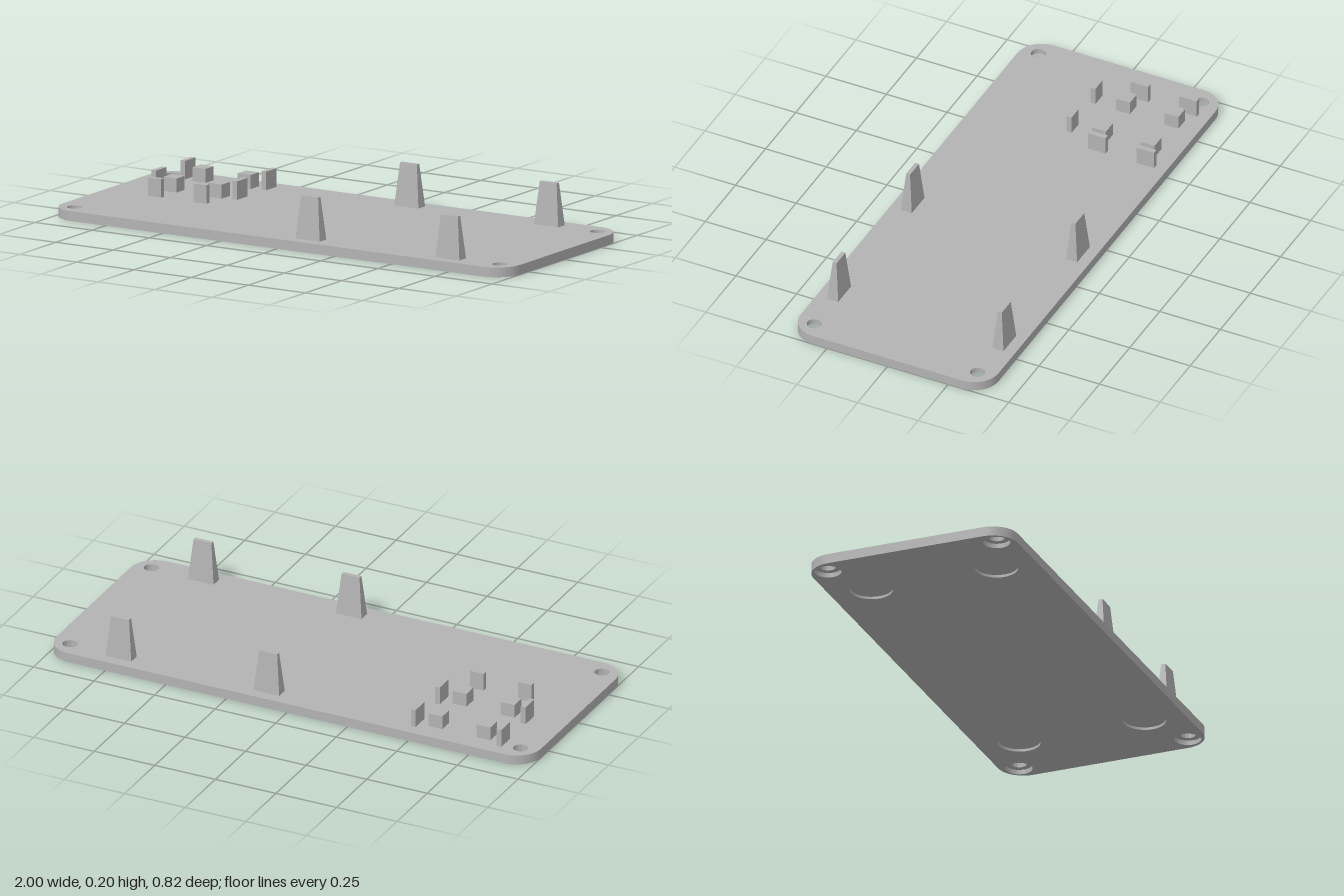
import * as THREE from 'three';
import { mergeGeometries, toCreasedNormals } from 'three/addons/utils/BufferGeometryUtils.js';

const HALF_X = 1, HALF_Z = 0.408, THICK = 0.037, CORNER = 0.1;
const HOLE_R = 0.028, BORE_R = 0.05, BORE_DEPTH = 0.018;
const FOOT_R = 0.079, FOOT_DEPTH = 0.01;
const SEG = 40;

// The four mirrored positions of (x, z)
const corners = (x, z) => [[x, z], [-x, z], [-x, -z], [x, -z]];
const HOLES = corners(0.93, 0.337);
const FEET = corners(0.72, 0.25);

// The plate is drawn in XY with z as its height, then laid flat
function circlePoints(x, y, r) {
  return Array.from({ length: SEG }, (_, i) => {
    const a = (i / SEG) * Math.PI * 2;
    return new THREE.Vector2(x + r * Math.cos(a), y + r * Math.sin(a));
  });
}

function outlinePoints() {
  const pts = [];
  [[1, 1], [-1, 1], [-1, -1], [1, -1]].forEach(([sx, sy], q) => {
    for (let i = 0; i <= 12; i++) {
      const a = (q + i / 12) * Math.PI / 2;
      pts.push(new THREE.Vector2(
        sx * (HALF_X - CORNER) + CORNER * Math.cos(a),
        sy * (HALF_Z - CORNER) + CORNER * Math.sin(a)));
    }
  });
  return pts;
}

// Flat face with holes; turned over when it looks down
function face(points, holes, z, down) {
  const shape = new THREE.Shape(points);
  holes.forEach((h) => shape.holes.push(new THREE.Path(h)));
  const g = new THREE.ShapeGeometry(shape);
  if (down) g.setIndex(Array.from(g.index.array).reverse());
  g.translate(0, 0, z);
  const flat = g.toNonIndexed();
  flat.deleteAttribute('uv');
  flat.deleteAttribute('normal');
  return flat;
}

// Upright wall along a closed loop; a reversed loop faces inward
function wall(points, z0, z1) {
  const v = [];
  points.forEach((p, i) => {
    const q = points[(i + 1) % points.length];
    v.push(p.x, p.y, z0, q.x, q.y, z0, q.x, q.y, z1);
    v.push(p.x, p.y, z0, q.x, q.y, z1, p.x, p.y, z1);
  });
  const g = new THREE.BufferGeometry();
  g.setAttribute('position', new THREE.Float32BufferAttribute(v, 3));
  return g;
}

function plateGeometry() {
  const outline = outlinePoints();
  const holes = HOLES.map(([x, y]) => circlePoints(x, y, HOLE_R));
  const bores = HOLES.map(([x, y]) => circlePoints(x, y, BORE_R));
  const feet = FEET.map(([x, y]) => circlePoints(x, y, FOOT_R));
  const inward = (pts) => [...pts].reverse();
  const parts = [
    face(outline, holes, THICK, false),
    face(outline, [...bores, ...feet], 0, true),
    wall(outline, 0, THICK),
  ];
  // Screw holes with a wider bore underneath
  holes.forEach((h, i) => parts.push(
    wall(inward(h), BORE_DEPTH, THICK),
    wall(inward(bores[i]), 0, BORE_DEPTH),
    face(bores[i], [h], BORE_DEPTH, true)));
  // Shallow round recesses for feet
  feet.forEach((f) => parts.push(
    wall(inward(f), 0, FOOT_DEPTH),
    face(f, [], FOOT_DEPTH, true)));
  const g = mergeGeometries(parts);
  g.rotateX(-Math.PI / 2);
  return toCreasedNormals(g, 0.6);
}

// Block narrowing towards the top
function taperedGeometry(w, d, topW, topD, h) {
  const g = new THREE.BoxGeometry(w, h, d);
  const p = g.attributes.position;
  for (let i = 0; i < p.count; i++) {
    if (p.getY(i) > 0) {
      p.setX(i, Math.sign(p.getX(i)) * topW / 2);
      p.setZ(i, Math.sign(p.getZ(i)) * topD / 2);
    }
  }
  const flat = g.toNonIndexed();
  flat.computeVertexNormals();
  return flat;
}

export function createModel() {
  const group = new THREE.Group();
  const grey = new THREE.MeshStandardMaterial({ color: 0xb3b3b3 });
  grey.name = 'grey plastic';

  function add(name, geometry, x = 0, y = 0, z = 0) {
    const mesh = new THREE.Mesh(geometry, grey);
    mesh.name = name;
    mesh.position.set(x, y, z);
    group.add(mesh);
  }

  add('basePlate', plateGeometry());

  // Four tall tapered posts
  const postH = 0.199 - THICK;
  const post = taperedGeometry(0.106, 0.046, 0.074, 0.016, postH);
  for (const x of [0.106, 0.717])
    for (const z of [-0.341, 0.341]) add('taperedPost', post, x, THICK + postH / 2, z);

  // Small holder: support blocks, side tabs and end tabs around x = -0.675
  const tabH = 0.107 - THICK, blockH = 0.09 - THICK;
  const block = new THREE.BoxGeometry(0.057, blockH, 0.057);
  const sideTab = new THREE.BoxGeometry(0.02, tabH, 0.072);
  const endTab = new THREE.BoxGeometry(0.057, tabH, 0.021);
  for (const side of [-1, 1]) {
    const blockX = -0.675 + side * 0.099;
    for (const z of [-0.104, -0.304]) {
      add('supportBlock', block, blockX, THICK + blockH / 2, z);
      add('sideTab', sideTab, -0.675 + side * 0.177, THICK + tabH / 2, z - 0.02);
    }
    add('endTab', endTab, blockX, THICK + tabH / 2, 0.02);
  }
  return group;
}
